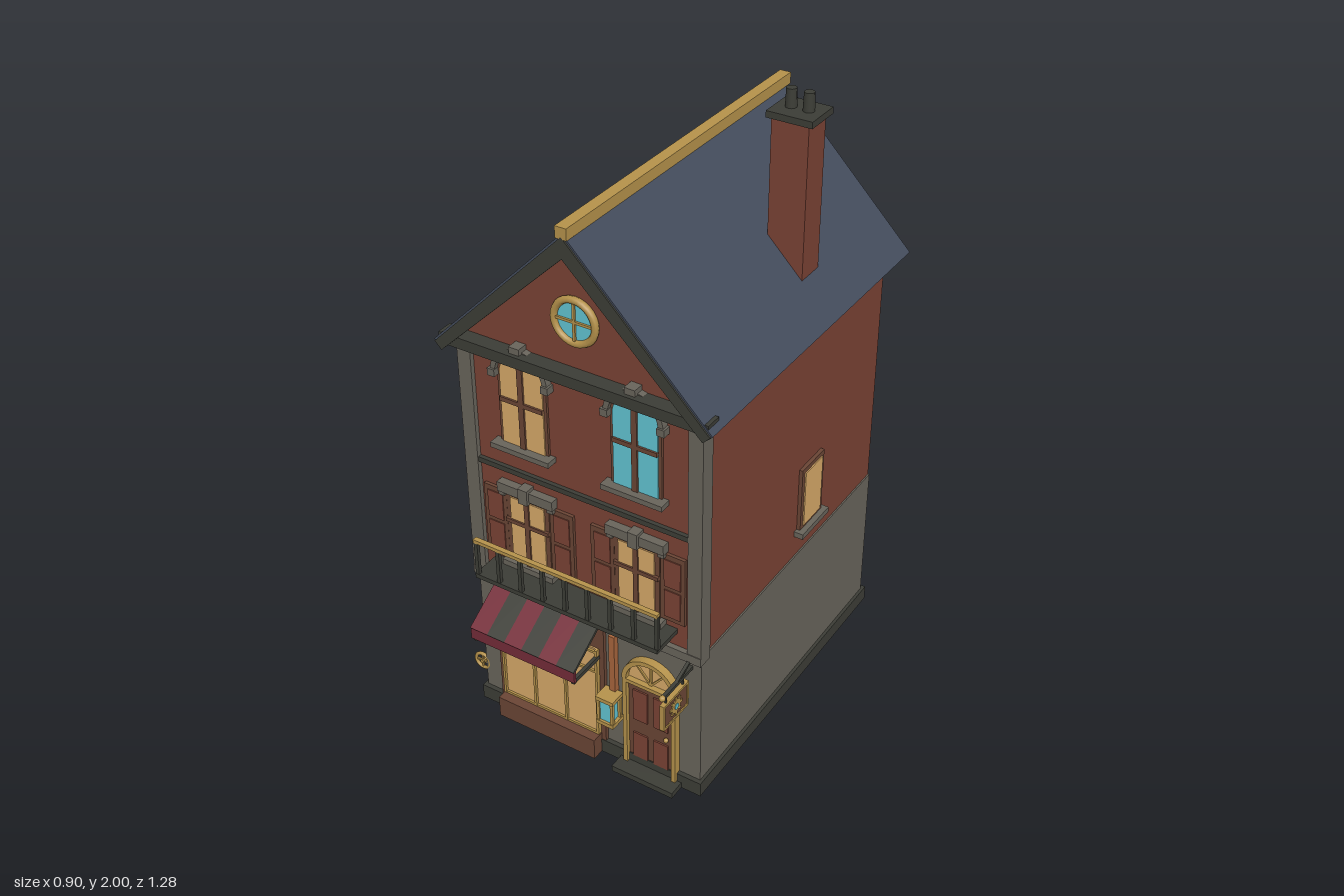
import * as THREE from 'three';

const mat = (name, color, side = THREE.FrontSide) => {
  const m = new THREE.MeshStandardMaterial({ color, side });
  m.name = name;
  return m;
};

export function createModel() {
  const brick = mat('brick', 0x7a4234), stone = mat('stone', 0x68645b), slate = mat('roofSlate', 0x434b5b);
  const iron = mat('darkIron', 0x3c3d36), brass = mat('brass', 0xb5924b), amber = mat('amberGlass', 0xd6a868);
  const blue = mat('blueGlass', 0x62c4d2), wood = mat('wood', 0x6a4535), maroon = mat('maroonCloth', 0x742c38);
  const copper = mat('copper', 0xa7653c);
  const house = new THREE.Group();
  house.name = 'townHouse';

  // Helpers
  const add = (parent, name, geo, m, x = 0, y = 0, z = 0) => {
    const mesh = new THREE.Mesh(geo, m);
    mesh.name = name;
    mesh.position.set(x, y, z);
    parent.add(mesh);
    return mesh;
  };
  const box = (parent, name, m, x0, x1, y0, y1, z0, z1) =>
    add(parent, name, new THREE.BoxGeometry(x1 - x0, y1 - y0, z1 - z0), m, (x0 + x1) / 2, (y0 + y1) / 2, (z0 + z1) / 2);
  const extrude = (shape, depth) =>
    new THREE.ExtrudeGeometry(shape, { depth, bevelEnabled: false, curveSegments: 16 });
  const poly = (pts) => new THREE.Shape(pts.map(([x, y]) => new THREE.Vector2(x, y)));
  const group = (name, x, y, z, rotY = 0) => {
    const g = new THREE.Group();
    g.name = name;
    g.position.set(x, y, z);
    g.rotation.y = rotY;
    house.add(g);
    return g;
  };
  const archShape = (r, h) => {
    const s = new THREE.Shape();
    s.moveTo(-r, 0);
    s.lineTo(r, 0);
    s.lineTo(r, h);
    s.absarc(0, h, r, 0, Math.PI, false);
    s.lineTo(-r, 0);
    return s;
  };
  const archRing = (r0, r1) => {
    const s = new THREE.Shape();
    s.absarc(0, 0, r1, 0, Math.PI, false);
    s.absarc(0, 0, r0, Math.PI, 0, true);
    return s;
  };
  const FRONT = 0.475, BACK = -0.575;

  // Walls
  box(house, 'plinth', iron, -0.405, 0.405, 0, 0.05, -0.59, 0.49);
  box(house, 'groundFloorWalls', stone, -0.395, 0.395, 0.05, 0.53, BACK, FRONT);
  const wall = poly([[-0.39, 0.53], [0.39, 0.53], [0.39, 1.36], [0, 1.765], [-0.39, 1.36]]);
  add(house, 'upperWalls', extrude(wall, FRONT - BACK), brick, 0, 0, BACK);
  box(house, 'stoneBand', stone, -0.402, 0.402, 0.515, 0.545, 0.44, 0.492);
  box(house, 'floorBand', iron, -0.355, 0.355, 0.943, 0.96, 0.47, 0.488);
  box(house, 'backGableLine', brick, -0.39, 0.39, 1.335, 1.345, BACK - 0.004, BACK);
  for (const s of [-1, 1]) {
    box(house, 'cornerPilaster', stone, s * 0.379 - 0.023, s * 0.379 + 0.023, 0.53, 1.345, 0.44, 0.49);
  }

  // Roof
  const chevron = (w, top, t) => {
    const y = top - w * 1.015;
    return poly([[0, top], [-w, y], [-w + t * 0.5, y - t * 0.5], [0, top - t * 1.42],
      [w - t * 0.5, y - t * 0.5], [w, y]].reverse());
  };
  add(house, 'roof', extrude(chevron(0.45, 1.805, 0.03), 1.147), slate, 0, 0, -0.622);
  add(house, 'bargeBoards', extrude(chevron(0.445, 1.797, 0.045), 0.03), iron, 0, 0, 0.5);
  box(house, 'frontBeam', iron, -0.435, 0.435, 1.34, 1.375, 0.47, 0.522);
  box(house, 'ridgeCap', brass, -0.018, 0.018, 1.79, 1.825, -0.63, 0.53);

  // Chimney
  box(house, 'chimneyStack', brick, 0.23, 0.345, 1.42, 1.925, -0.225, -0.13);
  box(house, 'chimneyCap', iron, 0.218, 0.36, 1.925, 1.945, -0.238, -0.12);
  for (const x of [0.262, 0.316]) {
    add(house, 'chimneyPot', new THREE.CylinderGeometry(0.015, 0.017, 0.06, 12), iron, x, 1.97, -0.18);
  }

  // Round gable window
  const oculus = group('roundWindow', 0, 1.525, FRONT);
  add(oculus, 'roundPane', new THREE.CylinderGeometry(0.066, 0.066, 0.008, 24).rotateX(Math.PI / 2), blue, 0, 0, 0.004);
  add(oculus, 'roundFrame', new THREE.TorusGeometry(0.066, 0.011, 8, 28), brass, 0, 0, 0.008);
  box(oculus, 'bar', brass, -0.004, 0.004, -0.062, 0.062, 0.004, 0.014);
  box(oculus, 'bar', brass, -0.062, 0.062, -0.004, 0.004, 0.004, 0.014);

  // Arched windows on the top floor
  for (const s of [-1, 1]) {
    const g = group('archedWindow', s * 0.187, 1.05, FRONT);
    add(g, 'frame', extrude(archShape(0.082, 0.233), 0.008), wood);
    add(g, 'pane', extrude(archShape(0.072, 0.233), 0.004), s < 0 ? amber : blue, 0, 0, 0.008);
    add(g, 'archTrim', extrude(archRing(0.08, 0.096), 0.022), stone, 0, 0.235, 0);
    box(g, 'uprightBar', wood, -0.009, 0.009, 0, 0.3, 0.008, 0.018);
    box(g, 'crossBar', wood, -0.072, 0.072, 0.142, 0.156, 0.008, 0.018);
    box(g, 'sill', stone, -0.1, 0.1, -0.015, 0.002, 0, 0.038);
    box(g, 'keystone', stone, -0.017, 0.017, 0.305, 0.345, 0, 0.035);
    for (const t of [-1, 1]) box(g, 'archStop', stone, t * 0.09 - 0.012, t * 0.09 + 0.012, 0.222, 0.245, 0, 0.028);
  }

  // Straight windows, built facing +z
  const sashWindow = (x, y, z, rotY, { w = 0.15, h = 0.25, bars = false, lintel = true, shutters = false }) => {
    const g = group('sashWindow', x, y, z, rotY), a = w / 2;
    box(g, 'frame', wood, -a, a, 0, h, -0.01, 0.012);
    box(g, 'pane', amber, -a + 0.015, a - 0.015, 0.015, h - 0.015, 0.01, 0.016);
    box(g, 'sill', stone, -a - 0.015, a + 0.015, -0.015, 0.004, 0, 0.03);
    if (bars) {
      box(g, 'uprightBar', wood, -0.008, 0.008, 0, h, 0.012, 0.021);
      box(g, 'crossBar', wood, -a, a, h * 0.58, h * 0.58 + 0.013, 0.012, 0.021);
    }
    if (lintel) {
      box(g, 'lintel', stone, -a - 0.022, a + 0.022, h, h + 0.032, 0, 0.026);
      box(g, 'keystone', stone, -0.016, 0.016, h - 0.008, h + 0.043, 0, 0.035);
      for (const t of [-1, 1]) box(g, 'lintelEnd', stone, t * (a + 0.01) - 0.01, t * (a + 0.01) + 0.01, h - 0.014, h, 0, 0.022);
    }
    if (shutters) for (const t of [-1, 1]) {
      const c = t * (a + 0.042);
      box(g, 'shutter', wood, c - 0.04, c + 0.04, 0.01, h - 0.005, 0, 0.01);
      for (const b of [0.025, 0.133]) box(g, 'shutterPanel', brick, c - 0.027, c + 0.027, b, b + 0.095, 0.008, 0.013);
    }
  };
  for (const s of [-1, 1]) sashWindow(s * 0.187, 0.625, FRONT, 0, { bars: true, shutters: true });
  for (const y of [0.62, 1.045]) sashWindow(0, y, BACK, Math.PI, {});
  sashWindow(0.39, 0.622, -0.152, Math.PI / 2, { w: 0.135, h: 0.225, lintel: false });
  sashWindow(-0.39, 0.64, 0.05, -Math.PI / 2, { w: 0.135, h: 0.225, lintel: false });

  // Balcony
  box(house, 'balconySlab', iron, -0.32, 0.315, 0.593, 0.608, 0.47, 0.583);
  for (let i = 0; i < 9; i++) {
    const x = -0.313 + i * 0.078;
    box(house, 'baluster', iron, x - 0.006, x + 0.006, 0.605, 0.725, 0.57, 0.582);
  }
  box(house, 'balconyRail', brass, -0.32, 0.315, 0.723, 0.735, 0.568, 0.584);

  // Shop front
  box(house, 'shopFrame', wood, -0.328, 0.066, 0.05, 0.5, 0.47, 0.488);
  box(house, 'shopPane', amber, -0.305, 0.045, 0.08, 0.415, 0.486, 0.493);
  box(house, 'stallRiser', wood, -0.31, 0.05, 0, 0.075, 0.47, 0.53);
  for (const x of [-0.305, -0.188, -0.072, 0.045]) box(house, 'shopMullion', brass, x - 0.004, x + 0.004, 0.078, 0.415, 0.488, 0.502);
  for (const y of [0.08, 0.328, 0.405]) box(house, 'shopTransom', brass, -0.305, 0.045, y - 0.004, y + 0.004, 0.488, 0.5);

  // Striped awning
  for (let i = 0; i < 6; i++) {
    const stripe = add(house, 'awningStripe', new THREE.BoxGeometry(0.0625, 0.01, 0.178), i % 2 ? iron : maroon,
      -0.32 + 0.0625 * (i + 0.5), 0.474, 0.55);
    stripe.rotation.x = Math.atan2(0.095, 0.15);
  }
  box(house, 'awningValance', maroon, -0.32, 0.055, 0.388, 0.428, 0.615, 0.625);
  for (const x of [-0.31, 0.045]) box(house, 'awningArm', iron, x - 0.006, x + 0.006, 0.378, 0.392, 0.475, 0.62);

  // Front door with fanlight
  const door = group('frontDoor', 0.23, 0, FRONT);
  const doorLeaf = (g, h) => {
    box(g, 'doorLeaf', wood, -0.08, 0.08, 0.02, h, -0.01, 0.012);
    for (const s of [-1, 1]) for (const [a, b] of [[0.08, 0.42], [0.52, 0.92]]) {
      box(g, 'doorPanel', brick, s * 0.036 - 0.025, s * 0.036 + 0.025, h * a + 0.02, h * b, 0.008, 0.017);
    }
    add(g, 'doorKnob', new THREE.SphereGeometry(0.008, 10, 8), brass, 0.057, h * 0.5, 0.02);
    box(g, 'doorStep', iron, -0.108, 0.108, 0, 0.02, 0, 0.068);
    for (const s of [-1, 1]) box(g, 'doorPost', brass, s * 0.085 - 0.007, s * 0.085 + 0.007, 0.02, h, 0, 0.026);
    box(g, 'doorHead', brass, -0.092, 0.092, h, h + 0.013, 0, 0.026);
  };
  doorLeaf(door, 0.345);
  add(door, 'fanlight', extrude(archShape(0.082, 0), 0.008), amber, 0, 0.358, 0);
  add(door, 'fanlightArch', extrude(archRing(0.079, 0.094), 0.026), brass, 0, 0.358, 0);
  for (const a of [-0.7, 0, 0.7]) {
    const bar = add(door, 'fanlightBar', new THREE.BoxGeometry(0.006, 0.08, 0.008).translate(0, 0.04, 0), brass, 0, 0.358, 0.01);
    bar.rotation.z = a;
  }

  // Back door
  doorLeaf(group('backDoor', -0.212, 0, BACK, Math.PI), 0.322);

  // Wall lantern on its pole
  box(house, 'lanternPole', copper, 0.088, 0.108, 0.27, 0.49, 0.47, 0.495);
  const lantern = group('lantern', 0.098, 0.225, 0.513);
  box(lantern, 'lanternGlass', blue, -0.02, 0.02, -0.04, 0.04, -0.02, 0.02);
  for (const y of [-0.046, 0.046]) box(lantern, 'lanternPlate', brass, -0.031, 0.031, y - 0.007, y + 0.007, -0.03, 0.028);
  for (const x of [-1, 1]) for (const z of [-1, 1]) {
    box(lantern, 'lanternPost', brass, x * 0.024 - 0.005, x * 0.024 + 0.005, -0.045, 0.045, z * 0.02 - 0.005, z * 0.02 + 0.005);
  }

  // Hanging sign with a cog on both faces
  const sign = group('hangingSign', 0.361, 0.412, 0.567);
  box(sign, 'signBoard', wood, -0.005, 0.005, -0.042, 0.042, -0.062, 0.062);
  for (const s of [-1, 1]) {
    box(sign, 'signEdge', brass, -0.008, 0.008, s * 0.042 - 0.004, s * 0.042 + 0.004, -0.066, 0.066);
    box(sign, 'signEdge', brass, -0.008, 0.008, -0.042, 0.042, s * 0.062 - 0.004, s * 0.062 + 0.004);
    box(sign, 'signHanger', iron, -0.003, 0.003, 0.042, 0.075, s * 0.045 - 0.003, s * 0.045 + 0.003);
  }
  const disc = (r, d) => new THREE.CylinderGeometry(r, r, d, 16).rotateZ(Math.PI / 2);
  add(sign, 'cog', disc(0.023, 0.016), brass);
  add(sign, 'cogHub', disc(0.01, 0.02), blue);
  for (let i = 0; i < 8; i++) {
    const tooth = add(sign, 'cogTooth', new THREE.BoxGeometry(0.016, 0.012, 0.009).translate(0, 0.026, 0), brass);
    tooth.rotation.x = i * Math.PI / 4;
  }
  box(house, 'signBar', iron, 0.355, 0.367, 0.481, 0.492, 0.47, 0.63);
  const brace = box(house, 'signBrace', iron, 0.356, 0.366, 0.499, 0.507, 0.47, 0.57);
  brace.rotation.x = 0.38;
  add(house, 'signFinial', new THREE.SphereGeometry(0.01, 10, 8), brass, 0.361, 0.487, 0.63);

  // Downpipe and valve wheel
  add(house, 'downpipe', new THREE.CylinderGeometry(0.012, 0.012, 1.28, 12), copper, -0.413, 0.7, 0.43);
  for (const y of [0.35, 0.56, 0.77, 0.98, 1.19]) {
    add(house, 'pipeCollar', new THREE.CylinderGeometry(0.016, 0.016, 0.015, 12), copper, -0.413, y, 0.43);
  }
  const valve = group('valveWheel', -0.413, 0.135, 0.47);
  add(valve, 'wheelRim', new THREE.TorusGeometry(0.027, 0.006, 8, 20), brass);
  add(valve, 'wheelStem', new THREE.CylinderGeometry(0.007, 0.007, 0.05, 10).rotateX(Math.PI / 2), brass, 0, 0, -0.018);
  for (let i = 0; i < 2; i++) {
    const spoke = box(valve, 'wheelSpoke', brass, -0.027, 0.027, -0.003, 0.003, -0.003, 0.003);
    spoke.rotation.z = i * Math.PI / 2;
  }
  return house;
}
